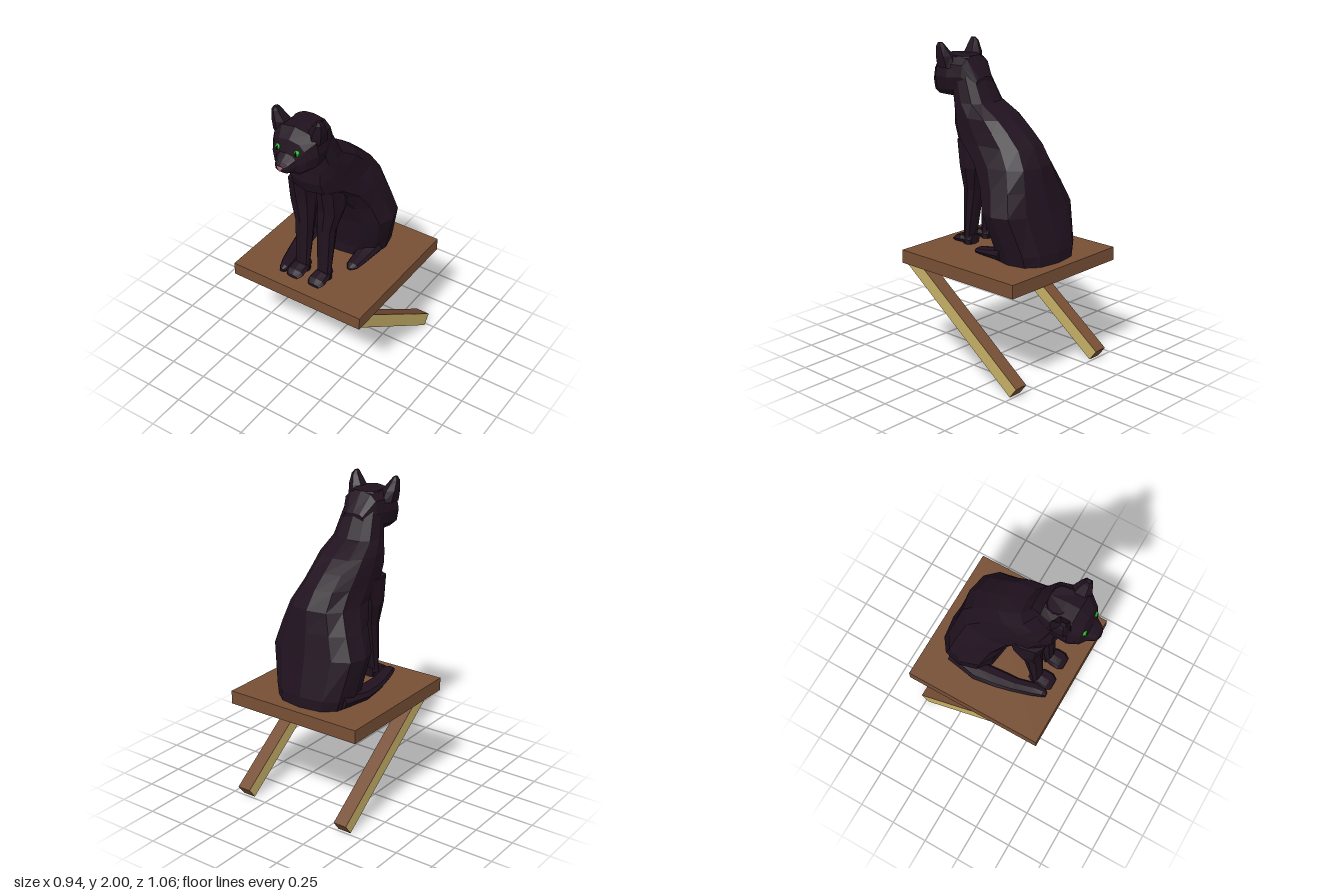
import * as THREE from 'three';

const mat = (color) => new THREE.MeshStandardMaterial({ color, flatShading: true, side: THREE.DoubleSide });

// Faceted loft of rounded rings stacked along y or z.
// axis 'y': [y, z0, z1, x0, x1]   axis 'z': [z, x0, x1, y0, y1]
function loft(axis, rings, sides = 8, power = 0.8) {
  const pos = [], idx = [];
  const put = (t, u, v) => (axis === 'y' ? pos.push(v, t, u) : pos.push(u, v, t));
  const soft = (s) => Math.sign(s) * Math.pow(Math.abs(s) < 1e-6 ? 0 : Math.abs(s), power);
  for (const [t, u0, u1, v0, v1] of rings) {
    for (let j = 0; j < sides; j++) {
      const a = (j / sides) * Math.PI * 2;
      put(t, (u0 + u1) / 2 + soft(Math.cos(a)) * (u1 - u0) / 2, (v0 + v1) / 2 + soft(Math.sin(a)) * (v1 - v0) / 2);
    }
  }
  const last = rings.length - 1;
  for (let i = 0; i < last; i++) {
    for (let j = 0; j < sides; j++) {
      const k = (j + 1) % sides, a = i * sides + j, b = i * sides + k;
      idx.push(a, b, b + sides, a, b + sides, a + sides);
    }
  }
  for (let j = 1; j < sides - 1; j++) {
    const e = last * sides;
    idx.push(0, j + 1, j, e, e + j, e + j + 1);
  }
  const geo = new THREE.BufferGeometry();
  geo.setAttribute('position', new THREE.Float32BufferAttribute(pos, 3));
  geo.setIndex(idx);
  const flat = geo.toNonIndexed();
  flat.computeVertexNormals();
  return flat;
}

export function createModel() {
  const group = new THREE.Group();
  const fur = mat(0x20121f), wood = mat(0x774f35), pale = mat(0xc6b066);
  const green = mat(0x18b018), black = mat(0x050505), pink = mat(0xb07078);
  const add = (name, geo, material, parent = group) => {
    const mesh = new THREE.Mesh(geo, material);
    mesh.name = name;
    parent.add(mesh);
    return mesh;
  };

  // Shelf board
  add('shelf', new THREE.BoxGeometry(0.94, 0.085, 0.93), wood).position.set(0, 0.692, -0.065);

  // Slanted braces: pale sides and underside, brown top and lower end
  const outline = [[0.4, 0.65], [0.26, 0.65], [-0.53, 0.07], [-0.48, 0.005]];
  for (const [name, x0] of [['rightBrace', -0.405], ['leftBrace', 0.35]]) {
    const brace = new THREE.Group();
    brace.name = name;
    const shape = new THREE.Shape(outline.map(([z, y]) => new THREE.Vector2(-z, y)));
    const geo = new THREE.ExtrudeGeometry(shape, { depth: 0.09, bevelEnabled: false });
    geo.rotateY(Math.PI / 2).translate(x0, 0, 0);
    add('braceBar', geo, pale, brace);
    const facing = (label, [z0, y0], [z1, y1]) => {
      const len = Math.hypot(z1 - z0, y1 - y0);
      const strip = add(label, new THREE.BoxGeometry(0.09, 0.003, len), wood, brace);
      strip.position.set(x0 + 0.045, (y0 + y1) / 2, (z0 + z1) / 2);
      strip.rotation.x = -Math.atan2(y1 - y0, z1 - z0);
    };
    facing('braceTop', outline[1], outline[2]);
    facing('braceEnd', outline[2], outline[3]);
    group.add(brace);
  }

  // Cat: haunches, torso and neck
  const cat = new THREE.Group();
  cat.name = 'cat';
  group.add(cat);
  add('torso', loft('y', [
    [0.735, -0.47, -0.075, -0.26, 0.235],
    [0.8, -0.465, -0.075, -0.28, 0.25],
    [1.04, -0.4, -0.03, -0.325, 0.32],
    [1.18, -0.37, 0.02, -0.26, 0.28],
    [1.31, -0.345, 0.12, -0.2, 0.24],
    [1.42, -0.28, 0.28, -0.185, 0.2],
    [1.5, -0.19, 0.31, -0.18, 0.19],
    [1.57, -0.1, 0.305, -0.17, 0.185],
    [1.65, 0.05, 0.305, -0.14, 0.165],
    [1.8, 0.13, 0.34, -0.11, 0.14],
    [1.92, 0.2, 0.33, -0.07, 0.1],
  ], 12), fur, cat);

  // Head and muzzle
  add('head', loft('z', [
    [0.12, -0.06, 0.09, 1.71, 1.8],
    [0.2, -0.11, 0.14, 1.68, 1.92],
    [0.3, -0.135, 0.17, 1.66, 1.928],
    [0.385, -0.14, 0.175, 1.66, 1.928],
    [0.445, -0.1, 0.13, 1.655, 1.875],
    [0.47, -0.06, 0.085, 1.675, 1.8],
    [0.515, -0.035, 0.06, 1.695, 1.765],
    [0.53, -0.015, 0.035, 1.715, 1.745],
  ], 12, 0.75), fur, cat);

  // Front legs, paws, ears and eyes on both sides
  for (const [side, s] of [['right', -1], ['left', 1]]) {
    const lx = s * 0.08 - 0.005, hx = 0.012;
    add(side + 'FrontLeg', loft('y', [
      [0.735, 0.15, 0.23, lx - 0.05, lx + 0.05],
      [0.8, 0.16, 0.22, lx - 0.05, lx + 0.05],
      [1.1, 0.1, 0.215, lx - 0.06, lx + 0.06],
      [1.25, 0.05, 0.22, lx + s * 0.02 - 0.08, lx + s * 0.02 + 0.08],
      [1.42, 0, 0.25, lx + s * 0.02 - 0.08, lx + s * 0.02 + 0.08],
    ]), fur, cat);
    add(side + 'Paw', loft('z', [
      [0.15, lx - 0.04, lx + 0.04, 0.735, 0.8],
      [0.23, lx - 0.06, lx + 0.06, 0.735, 0.795],
      [0.28, lx - 0.06, lx + 0.06, 0.735, 0.78],
      [0.31, lx - 0.04, lx + 0.04, 0.735, 0.755],
    ]), fur, cat);
    const ex = hx + s * 0.115, tx = hx + s * 0.145;
    add(side + 'Ear', loft('y', [
      [1.85, 0.26, 0.4, ex - 0.05, ex + 0.05],
      [1.92, 0.285, 0.395, ex + s * 0.01 - 0.05, ex + s * 0.01 + 0.05],
      [1.98, 0.32, 0.385, tx - 0.025, tx + 0.025],
      [2.0, 0.34, 0.375, tx - 0.012, tx + 0.012],
    ], 6), fur, cat);
    const eye = add(side + 'Eye', new THREE.SphereGeometry(0.02, 10, 8), green, cat);
    eye.position.set(hx + s * 0.064, 1.812, 0.452);
    const pupil = add(side + 'Pupil', new THREE.SphereGeometry(0.012, 8, 6), black, cat);
    pupil.scale.set(0.4, 1.2, 0.5);
    pupil.position.set(hx + s * 0.064, 1.812, 0.469);
  }

  // Nose: small triangle pointing down
  const nose = new THREE.Shape([[-0.022, 0.015], [0, -0.02], [0.022, 0.015]].map((p) => new THREE.Vector2(...p)));
  add('nose', new THREE.ShapeGeometry(nose), pink, cat).position.set(0.01, 1.727, 0.533);

  // Hind foot and the tail curled forward along the right side
  add('hindFoot', loft('z', [
    [-0.2, 0.1, 0.25, 0.735, 0.82],
    [-0.06, 0.12, 0.23, 0.735, 0.785],
    [0.02, 0.13, 0.215, 0.735, 0.77],
    [0.05, 0.15, 0.18, 0.735, 0.75],
  ]), fur, cat);
  add('tail', loft('z', [
    [-0.35, -0.28, -0.12, 0.735, 0.83],
    [-0.15, -0.31, -0.18, 0.735, 0.8],
    [0.0, -0.285, -0.165, 0.735, 0.785],
    [0.1, -0.26, -0.16, 0.735, 0.78],
    [0.22, -0.225, -0.13, 0.735, 0.785],
    [0.28, -0.2, -0.135, 0.735, 0.78],
    [0.305, -0.185, -0.155, 0.74, 0.765],
  ]), fur, cat);

  return group;
}
